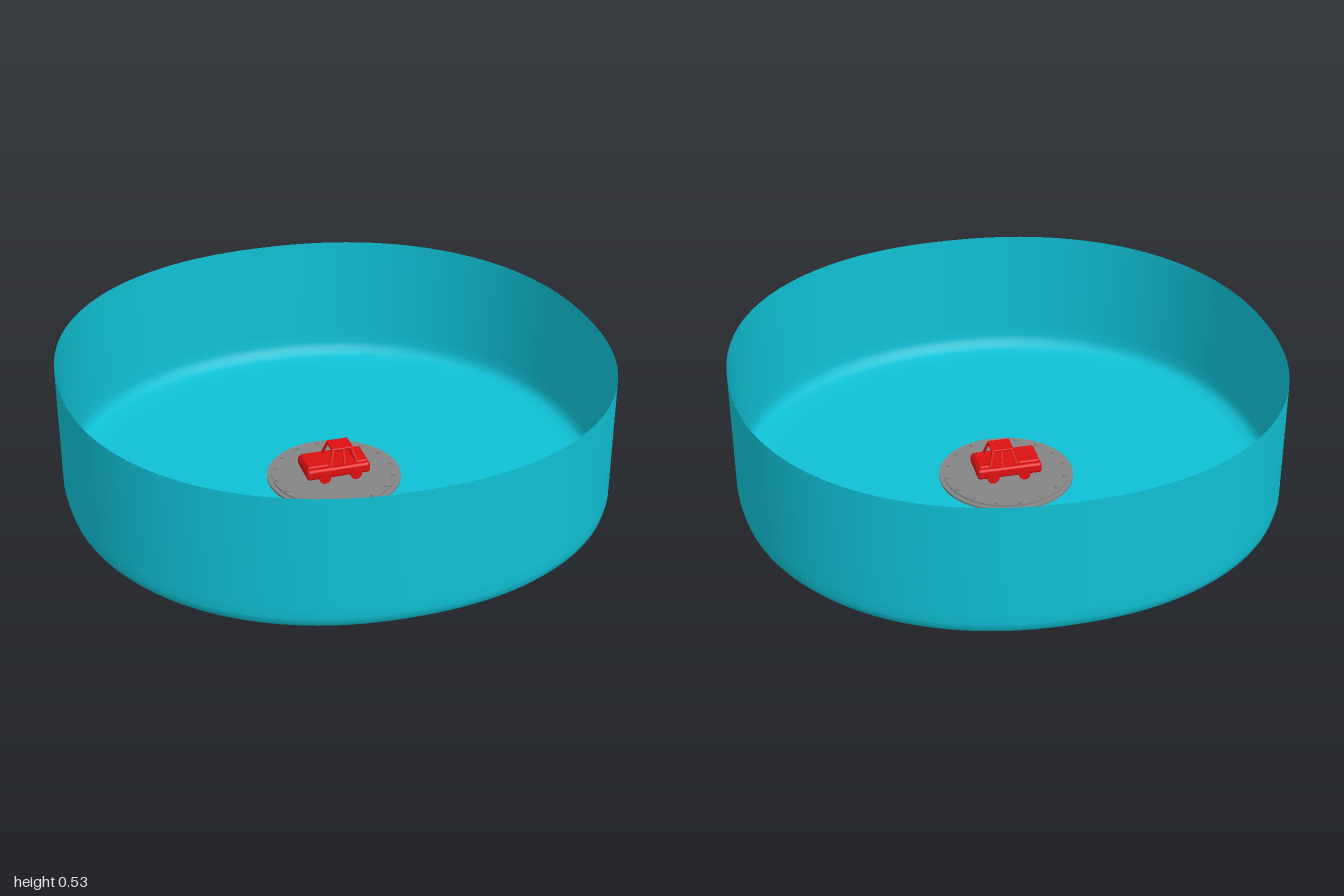
import * as THREE from 'three';
import { mergeVertices } from 'three/addons/utils/BufferGeometryUtils.js';
import { RoundedBoxGeometry } from 'three/addons/geometries/RoundedBoxGeometry.js';

const teal = new THREE.MeshStandardMaterial({ color: 0x0fc0d4, side: THREE.DoubleSide });
teal.name = 'teal shell';
const grey = new THREE.MeshStandardMaterial({ color: 0x858585 });
grey.name = 'grey plate';
const red = new THREE.MeshStandardMaterial({ color: 0xdd1010 });
red.name = 'red paint';

function add(parent, name, geometry, material, x = 0, y = 0, z = 0) {
  const mesh = new THREE.Mesh(geometry, material);
  mesh.name = name;
  mesh.position.set(x, y, z);
  parent.add(mesh);
  return mesh;
}

// Square-section bar between two points
function bar(parent, name, a, b, width) {
  const start = new THREE.Vector3(...a), end = new THREE.Vector3(...b);
  const mesh = add(parent, name, new THREE.BoxGeometry(width, start.distanceTo(end), width), red);
  mesh.position.copy(start).add(end).multiplyScalar(0.5);
  mesh.quaternion.setFromUnitVectors(new THREE.Vector3(0, 1, 0), end.sub(start).normalize());
}

// Open tray: a lathe whose round plan is swelled slightly towards the diagonals
function shellGeometry() {
  const profile = [
    [0, 0.013], [0.4, 0.013], [0.86, 0.015], [0.92, 0.018], [0.955, 0.024],
    [0.98, 0.034], [0.994, 0.05], [1, 0.075], [1, 0.12], [1, 0.53],
  ].map(([r, y]) => new THREE.Vector2(r, y));
  const geometry = new THREE.LatheGeometry(profile, 128);
  const p = geometry.attributes.position;
  const n = 2.17;
  for (let i = 0; i < p.count; i++) {
    const x = p.getX(i), z = p.getZ(i), r = Math.hypot(x, z);
    if (r < 1e-6) continue;
    const k = (Math.abs(x / r) ** n + Math.abs(z / r) ** n) ** (-1 / n);
    p.setX(i, x * k);
    p.setZ(i, z * k);
  }
  geometry.deleteAttribute('normal');
  geometry.deleteAttribute('uv');
  const smooth = mergeVertices(geometry, 1e-5);
  smooth.computeVertexNormals();
  return smooth;
}

function createPlate() {
  const plate = new THREE.Group();
  plate.name = 'basePlate';
  add(plate, 'plateDisc', new THREE.CylinderGeometry(0.252, 0.252, 0.022, 64), grey, 0, 0.011);
  add(plate, 'plateStep', new THREE.CylinderGeometry(0.235, 0.235, 0.006, 64), grey, 0, 0.025);
  const boltGeometry = new THREE.CylinderGeometry(0.008, 0.008, 0.006, 12);
  for (let i = 0; i < 16; i++) {
    const a = (i / 16) * Math.PI * 2;
    add(plate, 'bolt', boltGeometry, grey, Math.cos(a) * 0.222, 0.031, Math.sin(a) * 0.222);
  }
  return plate;
}

// Small car, nose towards -x
function createCar() {
  const car = new THREE.Group();
  car.name = 'car';
  car.position.y = 0.028;
  add(car, 'lowerBody', new RoundedBoxGeometry(0.246, 0.042, 0.138, 3, 0.012), red, 0, 0.037);
  add(car, 'hood', new RoundedBoxGeometry(0.085, 0.02, 0.11, 2, 0.007), red, -0.075, 0.058);
  add(car, 'trunk', new RoundedBoxGeometry(0.045, 0.018, 0.11, 2, 0.007), red, 0.093, 0.057);

  // Wheels
  const wheel = new THREE.CylinderGeometry(0.022, 0.022, 0.02, 20).rotateX(Math.PI / 2);
  for (const x of [-0.055, 0.065])
    for (const side of [-1, 1]) add(car, 'wheel', wheel, red, x, 0.022, side * 0.065);

  // Open cab with slim pillars
  add(car, 'roof', new RoundedBoxGeometry(0.084, 0.01, 0.076, 2, 0.004), red, 0.022, 0.115);
  for (const side of [-1, 1]) {
    bar(car, 'frontPillar', [-0.032, 0.054, side * 0.056], [-0.014, 0.114, side * 0.034], 0.008);
    bar(car, 'middlePillar', [0.026, 0.054, side * 0.056], [0.026, 0.114, side * 0.034], 0.007);
    bar(car, 'rearPillar', [0.076, 0.054, side * 0.056], [0.058, 0.114, side * 0.034], 0.008);
    bar(car, 'windowSill', [-0.034, 0.057, side * 0.057], [0.078, 0.057, side * 0.057], 0.008);
  }
  return car;
}

export function createModel() {
  const model = new THREE.Group();
  model.name = 'displayTray';
  add(model, 'trayShell', shellGeometry(), teal);
  model.add(createPlate(), createCar());
  return model;
}
